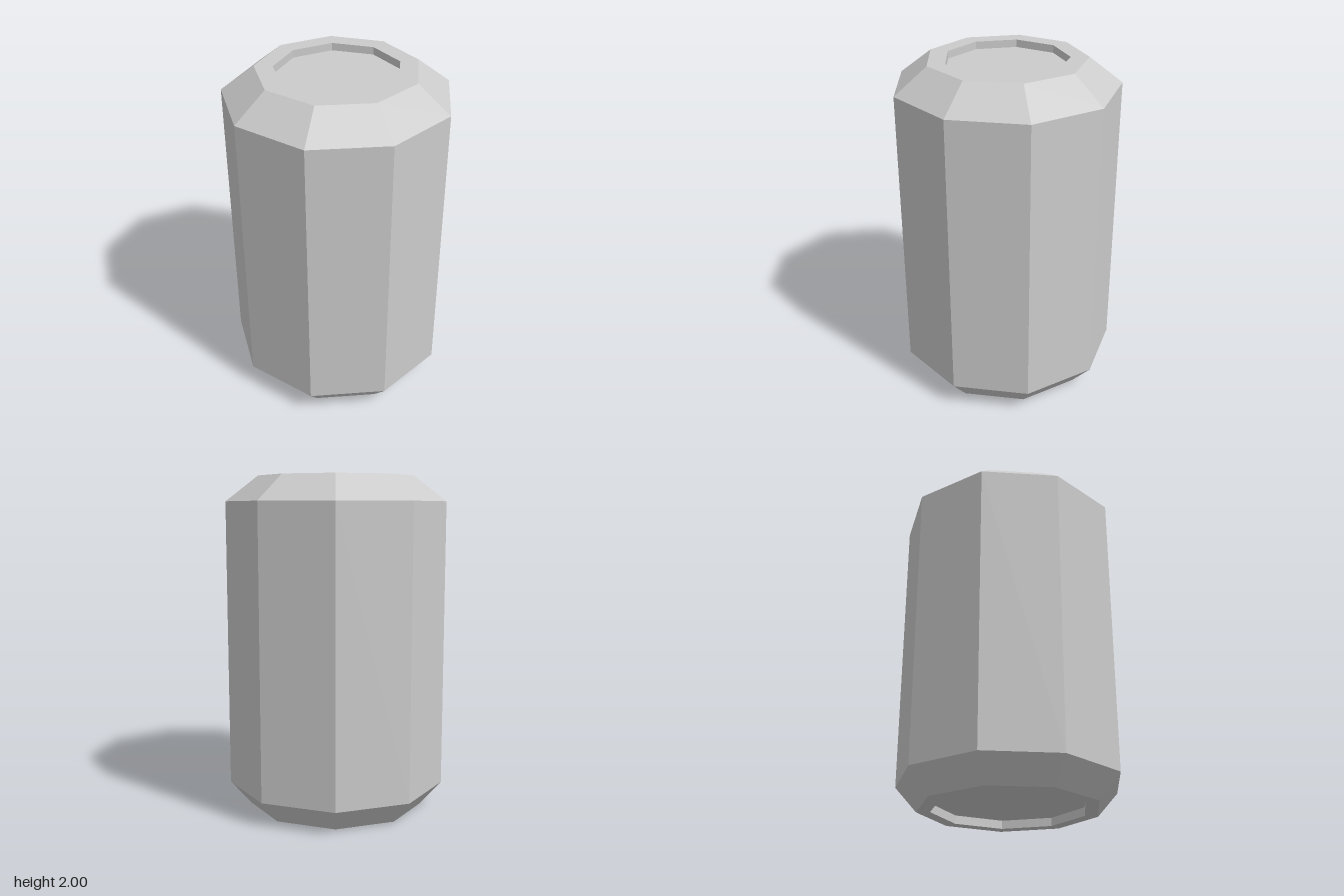
import * as THREE from 'three';

const SIDES = 9;

// Faceted lathe whose profile runs from bottom to top on the outside; one corner points to the back.
function facetedLathe(name, profile, material) {
  const points = profile.map(([r, y]) => new THREE.Vector2(r, y));
  const geometry = new THREE.LatheGeometry(points, SIDES, Math.PI).toNonIndexed();
  geometry.computeVertexNormals();
  const mesh = new THREE.Mesh(geometry, material);
  mesh.name = name;
  return mesh;
}

// Flat nine-sided panel closing a recess.
function panel(name, radius, y, facing, material) {
  const geometry = new THREE.CircleGeometry(radius, SIDES, Math.PI / 2);
  // The starting corner lands on -z when facing up, and is turned to -z when facing down.
  if (facing < 0) geometry.rotateZ(Math.PI);
  geometry.rotateX(-facing * Math.PI / 2);
  const mesh = new THREE.Mesh(geometry, material);
  mesh.position.y = y;
  mesh.name = name;
  return mesh;
}

export function createModel() {
  const group = new THREE.Group();
  group.name = 'can';
  const material = new THREE.MeshStandardMaterial({ color: 0xcccccc, flatShading: true });

  // Side wall with the tapered shoulder and foot
  group.add(facetedLathe('canBody', [[0.53, 0], [0.657, 0.145], [0.657, 1.85], [0.464, 2]], material));

  // Top rim with the sunken lid
  group.add(facetedLathe('topRim', [[0.464, 2], [0.358, 2], [0.358, 1.955]], material));
  group.add(panel('lid', 0.358, 1.955, 1, material));

  // Bottom rim with the sunken base
  group.add(facetedLathe('bottomRim', [[0.45, 0.05], [0.45, 0], [0.53, 0]], material));
  group.add(panel('base', 0.45, 0.05, -1, material));

  // Centre the odd-sided outline between its back corner and front face
  for (const part of group.children) part.position.z = 0.02;
  return group;
}
